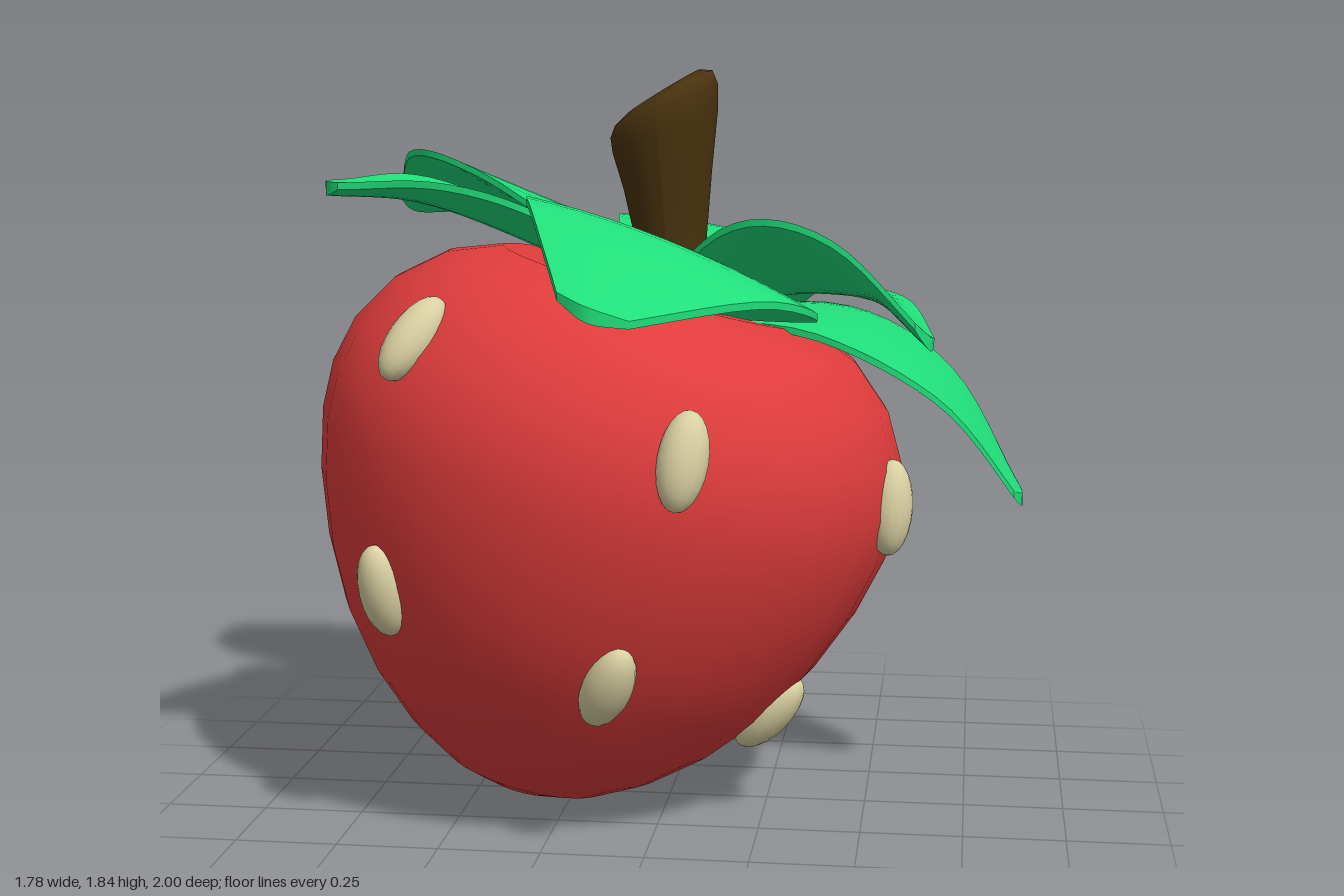
import * as THREE from 'three';

const mat = (color) => new THREE.MeshStandardMaterial({ color });
const RED = mat(0xe03c3c), GREEN = mat(0x20de7a), BROWN = mat(0x4a330f), CREAM = mat(0xd9d0a2);

// Berry outline: radius, height along the tilted axis
const PROFILE = [
  [0, 0], [0.1, 0.006], [0.21, 0.045], [0.33, 0.12], [0.45, 0.23], [0.56, 0.37], [0.64, 0.52],
  [0.7, 0.68], [0.733, 0.83], [0.737, 0.95], [0.71, 1.07], [0.64, 1.19], [0.53, 1.285],
  [0.4, 1.335], [0.22, 1.32], [0, 1.25],
];
const FLAT = 0.95; // berry is a little narrower in depth

function named(name, geometry, material) {
  const mesh = new THREE.Mesh(geometry, material);
  mesh.name = name;
  return mesh;
}

// Seed lying on the berry near a local point, long axis running up the skin, then twisted
function seed(p, twist) {
  const i = PROFILE.findIndex(([, y], k) => k > 0 && y >= p.y);
  const [r0, y0] = PROFILE[i - 1], [r1, y1] = PROFILE[i];
  const r = THREE.MathUtils.mapLinear(p.y, y0, y1, r0, r1);
  const a = Math.atan2(p.z / FLAT, p.x);
  const c = Math.cos(a), s = Math.sin(a);
  const up = new THREE.Vector3(c * (r1 - r0), y1 - y0, s * (r1 - r0) * FLAT).normalize();
  const around = new THREE.Vector3(s, 0, -c * FLAT).normalize();
  const out = new THREE.Vector3().crossVectors(around, up).normalize();
  const mesh = named('seed', new THREE.SphereGeometry(1, 16, 12), CREAM);
  mesh.quaternion.setFromRotationMatrix(
    new THREE.Matrix4().makeBasis(new THREE.Vector3().crossVectors(up, out), up, out));
  mesh.rotateZ(twist);
  mesh.position.set(r * c, p.y, r * s * FLAT);
  mesh.scale.set(0.06, 0.118, 0.055);
  return mesh;
}

// Leaf: a thin slab swept along a curve, widening then narrowing to a blunt tip.
// early moves the widest place to the base, taper sharpens the tip,
// roll banks the leaf and cup bends its edges down
function leaf({ path, width, roll, cup, early = 0.9, taper = 1.1 }) {
  const curve = new THREE.CatmullRomCurve3(path.map((p) => new THREE.Vector3(...p)));
  const f = curve.getPoint(1).sub(curve.getPoint(0));
  const side = new THREE.Vector3(f.z, 0, -f.x).normalize().setY(roll);
  const geo = new THREE.BoxGeometry(2, 0.034, 1, 10, 1, 18);
  const pos = geo.attributes.position;
  for (let i = 0; i < pos.count; i++) {
    const x = pos.getX(i), u = pos.getZ(i) + 0.5;
    const t = u - 0.03 * x * x * u ** 8; // rounded tip
    const w = width * (0.18 + 0.82 * Math.max(0, Math.sin(Math.PI * t ** early)) ** taper);
    const p = curve.getPoint(t).addScaledVector(side, x * w);
    p.y += pos.getY(i) * (1 - 0.5 * x * x) - cup * x * x * (w / width);
    pos.setXYZ(i, p.x, p.y, p.z);
  }
  geo.computeVertexNormals();
  return named('leaf', geo, GREEN);
}

export function createModel() {
  const model = new THREE.Group();
  model.name = 'strawberry';

  // Tilted berry
  const berry = new THREE.Group();
  berry.name = 'berry';
  berry.position.set(-0.381, 0.009, 0.035);
  berry.rotation.set(-0.05, 0, -Math.PI / 12);
  const body = named('body',
    new THREE.LatheGeometry(PROFILE.map(([r, y]) => new THREE.Vector2(r, y)), 28), RED);
  body.scale.z = FLAT;
  berry.add(body);
  model.add(berry);

  // Seeds, given by their place on the upright model and a twist
  berry.updateMatrixWorld(true);
  for (const [x, y, z, twist = 0] of [
    [-0.56, 1.22, 0.47, 0.12], [0.11, 0.97, 0.64, 0.05], [-0.62, 0.61, 0.46, 0.1], [-0.09, 0.42, 0.52],
    [0.61, 0.77, 0.17], [0.42, 0.78, -0.49, 0.14], [0.27, 0.25, 0.13, 0.1], [0.04, 0.29, -0.42],
    [-0.25, 1.0, -0.69, 0.1], [-0.72, 1.21, -0.27, 0.15], [-0.48, 0.53, -0.53, 0.1], [-0.82, 0.61, -0.09],
  ]) berry.add(seed(berry.worldToLocal(new THREE.Vector3(x, y, z)), twist));

  // Crown of six leaves: back, front, back right, front right, front left, left
  const crown = new THREE.Group();
  crown.name = 'leaves';
  for (const l of [
    { path: [[0, 1.26, 0.05], [0.1, 1.39, -0.4], [0.13, 1.34, -0.7], [0.14, 1.12, -1]], width: 0.32, roll: 0.17, cup: 0.01 },
    { path: [[0, 1.26, -0.05], [0.07, 1.4, 0.35], [0.04, 1.45, 0.65], [-0.05, 1.34, 1]], width: 0.33, roll: -0.38, cup: 0.02 },
    { path: [[-0.02, 1.27, -0.02], [-0.35, 1.46, -0.39], [-0.6, 1.51, -0.55], [-0.81, 1.45, -0.68]], width: 0.29, roll: 0.36, cup: -0.01, early: 0.85, taper: 1.2 },
    { path: [[-0.02, 1.27, 0.05], [-0.36, 1.45, 0.17], [-0.58, 1.54, 0.28], [-0.77, 1.56, 0.38]], width: 0.28, roll: 0, cup: -0.05, early: 0.72, taper: 1.6 },
    { path: [[-0.02, 1.24, 0], [0.27, 1.33, 0.05], [0.5, 1.31, 0.14], [0.65, 1.2, 0.27]], width: 0.25, roll: -0.4, cup: -0.05 },
    { path: [[0, 1.22, -0.07], [0.4, 1.21, -0.13], [0.68, 1.06, -0.09], [0.88, 0.78, -0.01]], width: 0.335, roll: 0, cup: 0.01, early: 0.82, taper: 1.25 },
  ]) crown.add(leaf(l));
  model.add(crown);

  // Stem flaring to a rounded, slanted end
  const stemProfile = [
    [0.075, 0], [0.09, 0.18], [0.11, 0.32], [0.131, 0.44], [0.133, 0.49], [0.121, 0.52], [0.09, 0.536], [0, 0.54],
  ].map(([r, y]) => new THREE.Vector2(r, y));
  const stemGeo = new THREE.LatheGeometry(stemProfile, 24);
  const pos = stemGeo.attributes.position;
  for (let i = 0; i < pos.count; i++) {
    const k = pos.getY(i) / 0.54;
    pos.setY(i, pos.getY(i) + 0.62 * k * k * pos.getX(i));
    pos.setX(i, pos.getX(i) - 0.03 * k);
    pos.setZ(i, pos.getZ(i) * 1.17);
  }
  stemGeo.computeVertexNormals();
  const stem = named('stem', stemGeo, BROWN);
  stem.position.set(0.008, 1.242, -0.03);
  model.add(stem);

  return model;
}
